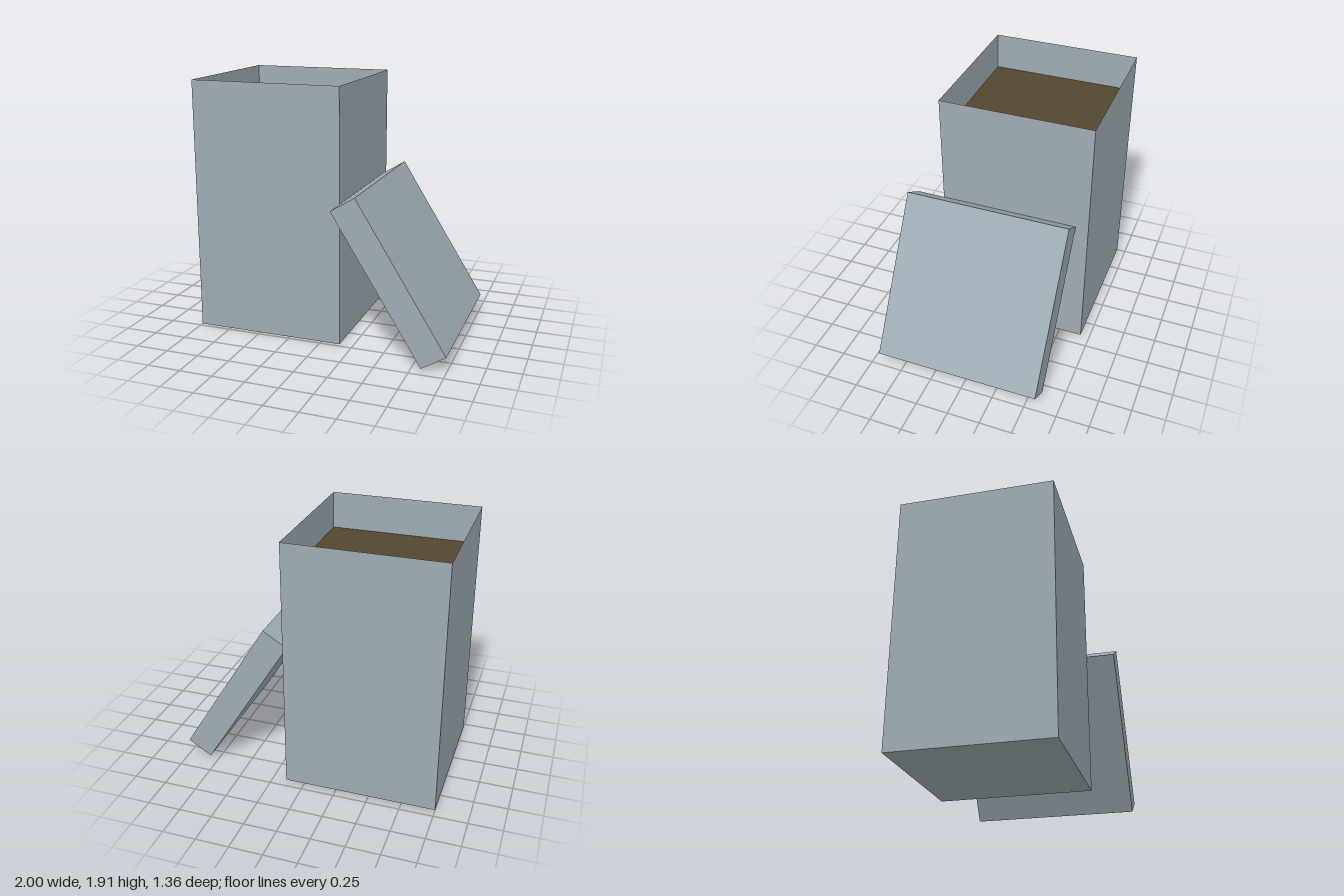
import * as THREE from 'three';

export function createModel() {
  const model = new THREE.Group();
  const grey = new THREE.MeshStandardMaterial({ color: 0x9eacb3, side: THREE.DoubleSide });
  grey.name = 'blue grey';
  const brown = new THREE.MeshStandardMaterial({ color: 0x54472f, side: THREE.DoubleSide });
  brown.name = 'dark brown';

  const add = (name, geometry, material, x, y, z) => {
    const mesh = new THREE.Mesh(geometry, material);
    mesh.name = name;
    mesh.position.set(x, y, z);
    model.add(mesh);
    return mesh;
  };

  const width = 1.147, height = 1.915;
  const cx = -0.4265, cz = -0.105;

  // Thin-walled container: a box without its top face
  const shell = new THREE.BoxGeometry(width, height, width);
  const faces = Array.from(shell.index.array);
  faces.splice(12, 6);
  shell.setIndex(faces);
  shell.clearGroups();
  add('container', shell, grey, cx, height / 2, cz);

  // Flat surface of the contents, below the rim
  const fill = new THREE.PlaneGeometry(width, width).rotateX(-Math.PI / 2);
  add('contents', fill, brown, cx, 1.63, cz);

  // Lid leaning against the container's side
  const lid = add('lid', new THREE.BoxGeometry(0.21, 1.262, 1.262), grey, 0.576, 0.6, 0.046);
  lid.rotation.z = 0.558;

  return model;
}
